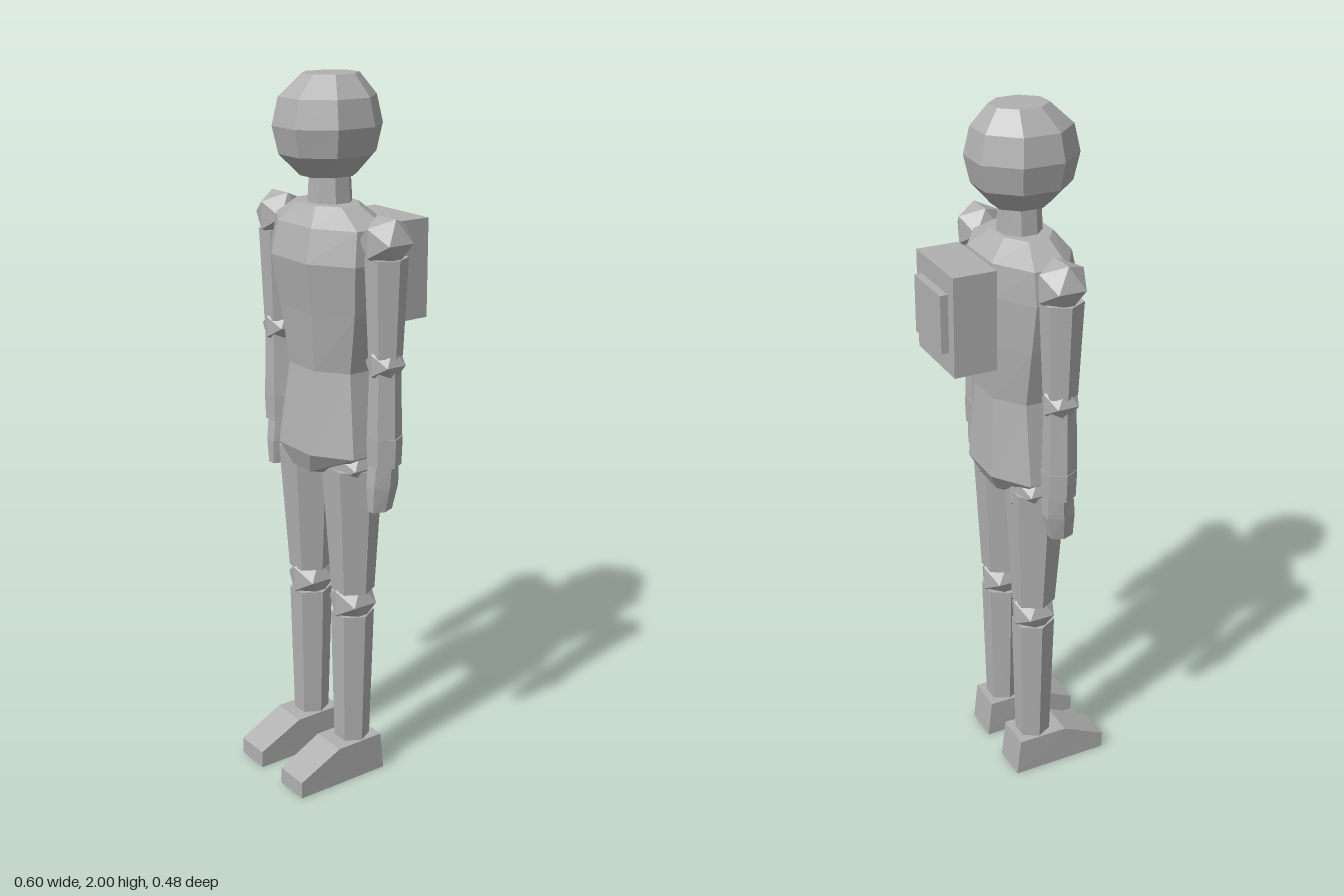
import * as THREE from 'three';

const grey = new THREE.MeshStandardMaterial({ color: 0xb0b0b0 });
grey.name = 'plainGrey';

// Closed loft with flat front; each ring is [y, half width, back z, front z], top first.
function loft(sides, rings) {
  const n = rings.length - 1;
  const geo = new THREE.CylinderGeometry(1, 1, n, sides, n, false, sides === 8 ? Math.PI / 8 : Math.PI / 2);
  const p = geo.attributes.position;
  const kz = 1 / Math.cos(Math.PI / sides);
  const kx = sides === 8 ? kz : 1;
  for (let i = 0; i < p.count; i++) {
    const [y, w, back, front] = rings[Math.round(n / 2 - p.getY(i))];
    p.setXYZ(i, p.getX(i) * w * kx, y, (back + front) / 2 + p.getZ(i) * kz * (front - back) / 2);
  }
  return faceted(geo);
}

function faceted(geo) {
  const flat = geo.index ? geo.toNonIndexed() : geo;
  flat.computeVertexNormals();
  return flat;
}

function add(parent, name, geo, x = 0, y = 0, z = 0) {
  const mesh = new THREE.Mesh(geo, grey);
  mesh.name = name;
  mesh.position.set(x, y, z);
  parent.add(mesh);
  return mesh;
}

// Wedge foot: side profile extruded across its width
function footGeometry() {
  const shape = new THREE.Shape([
    [-0.055, 0], [0.237, 0], [0.237, 0.05], [0.105, 0.115], [-0.043, 0.115],
  ].map(([z, y]) => new THREE.Vector2(z, y)));
  const geo = new THREE.ExtrudeGeometry(shape, { depth: 0.108, bevelEnabled: false });
  geo.translate(0, 0, -0.054);
  geo.rotateY(-Math.PI / 2);
  const p = geo.attributes.position;
  for (let i = 0; i < p.count; i++) {
    p.setX(i, p.getX(i) * (1 - 0.35 * Math.max(0, p.getZ(i) - 0.1)));
  }
  return faceted(geo);
}

export function createModel() {
  const model = new THREE.Group();
  model.name = 'figure';

  // Head, neck and body
  add(model, 'head', loft(8, [
    [2.0, 0.064, -0.052, 0.094], [1.943, 0.113, -0.094, 0.154], [1.87, 0.127, -0.11, 0.17],
    [1.797, 0.113, -0.094, 0.154], [1.74, 0.064, -0.045, 0.1],
  ]));
  add(model, 'neck', loft(8, [[1.76, 0.052, -0.028, 0.075], [1.65, 0.06, -0.033, 0.08]]));
  add(model, 'torso', loft(8, [
    [1.67, 0.1, -0.04, 0.1], [1.62, 0.183, -0.092, 0.138], [1.53, 0.193, -0.097, 0.158],
    [1.39, 0.172, -0.092, 0.136], [1.23, 0.14, -0.083, 0.118], [1.0, 0.175, -0.097, 0.144],
    [0.94, 0.1, -0.065, 0.122],
  ]));

  // Backpack with a raised panel
  add(model, 'backpack', new THREE.BoxGeometry(0.234, 0.275, 0.121), 0, 1.478, -0.158);
  add(model, 'backpackPanel', new THREE.BoxGeometry(0.167, 0.16, 0.022), 0, 1.48, -0.229);

  const ball = (r) => new THREE.IcosahedronGeometry(r, 0);
  for (const [side, s] of [['left', 1], ['right', -1]]) {
    // Arm
    const arm = new THREE.Group();
    arm.name = side + 'Arm';
    arm.position.set(0.243 * s, 0, 0);
    add(arm, 'shoulder', ball(0.073), -0.003 * s, 1.6, 0.021);
    add(arm, 'upperArm', loft(6, [[1.56, 0.056, -0.028, 0.072], [1.3, 0.045, -0.018, 0.062]]));
    add(arm, 'elbow', ball(0.056), 0, 1.28, 0.022);
    add(arm, 'forearm', loft(6, [[1.26, 0.041, -0.016, 0.06], [1.08, 0.046, -0.018, 0.064]]));
    add(arm, 'cuff', loft(6, [[1.08, 0.049, -0.02, 0.064], [1.0, 0.046, -0.018, 0.062]]));
    add(arm, 'hand', loft(6, [
      [1.0, 0.036, -0.016, 0.06], [0.94, 0.034, -0.016, 0.066], [0.87, 0.023, 0, 0.064],
    ]), -0.004 * s);
    model.add(arm);

    // Leg
    const leg = new THREE.Group();
    leg.name = side + 'Leg';
    leg.position.set(0.102 * s, 0, 0);
    add(leg, 'hip', ball(0.088), 0, 0.965, 0.022);
    add(leg, 'thigh', loft(6, [[0.96, 0.084, -0.05, 0.098], [0.585, 0.06, -0.033, 0.074]]), 0.002 * s);
    add(leg, 'knee', ball(0.071), 0, 0.55, 0.02);
    add(leg, 'shin', loft(6, [
      [0.515, 0.061, -0.033, 0.074], [0.3, 0.055, -0.028, 0.07], [0.1, 0.049, -0.023, 0.066],
    ]));
    add(leg, 'foot', footGeometry());
    model.add(leg);
  }
  return model;
}
